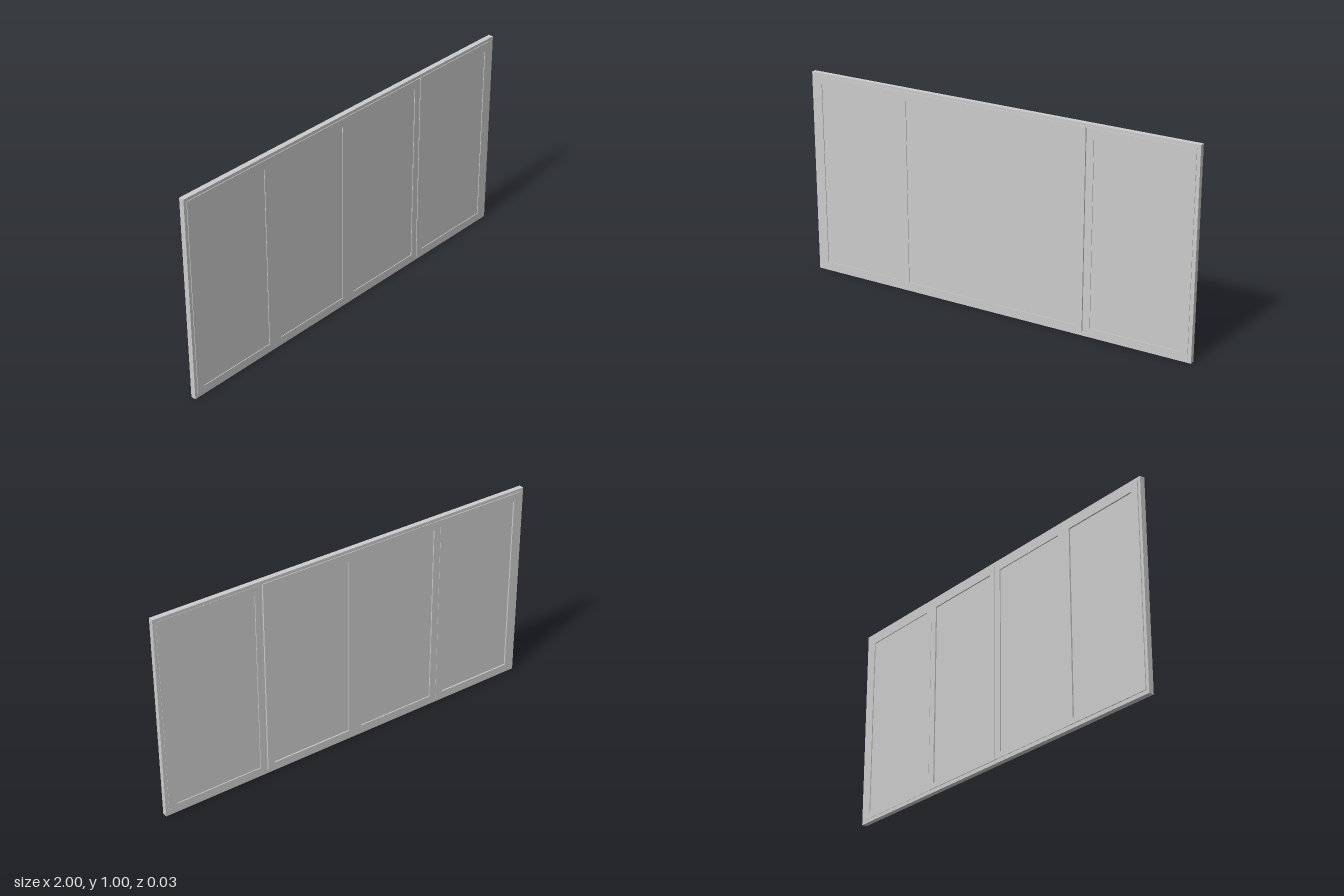
import * as THREE from 'three';

const material = new THREE.MeshStandardMaterial({ color: 0xcccccc });

// Rectangle corners as a closed loop
function rectangle(PathType, x0, x1, y0, y1) {
  const path = new PathType();
  path.moveTo(x0, y0);
  path.lineTo(x1, y0);
  path.lineTo(x1, y1);
  path.lineTo(x0, y1);
  path.closePath();
  return path;
}

// Flat rectangular ring between an outer and an inner rectangle
function ring(name, outer, inner, back, front) {
  const shape = rectangle(THREE.Shape, ...outer);
  shape.holes.push(rectangle(THREE.Path, ...inner));
  const geometry = new THREE.ExtrudeGeometry(shape, { depth: front - back, bevelEnabled: false });
  geometry.translate(0, 0, back);
  const mesh = new THREE.Mesh(geometry, material);
  mesh.name = name;
  return mesh;
}

// Pane filling an opening
function pane(name, [x0, x1, y0, y1], back, front) {
  const mesh = new THREE.Mesh(new THREE.BoxGeometry(x1 - x0, y1 - y0, front - back), material);
  mesh.position.set((x0 + x1) / 2, (y0 + y1) / 2, (back + front) / 2);
  mesh.name = name;
  return mesh;
}

export function createModel() {
  const group = new THREE.Group();
  group.name = 'slidingWindow';

  // Fixed outer frame
  group.add(ring('outerFrame', [-1, 1, 0, 1], [-0.98, 0.98, 0.02, 0.98], -0.012, 0.013));

  // Four sashes side by side: outer x range, pane x range, back depth
  const sashes = [
    { outer: [-0.985, -0.506], opening: [-0.945, -0.545], back: -0.016 },
    { outer: [-0.506, -0.024], opening: [-0.47, -0.06], back: -0.0145 },
    { outer: [-0.024, 0.462], opening: [0.012, 0.427], back: -0.0155 },
    { outer: [0.466, 0.983], opening: [0.502, 0.94], back: -0.0135 },
  ];
  sashes.forEach(({ outer, opening, back }, i) => {
    const sash = new THREE.Group();
    sash.name = `sash${i + 1}`;
    const hole = [...opening, 0.045, 0.945];
    sash.add(ring('sashFrame', [...outer, 0.018, 0.985], hole, back, 0.016));
    sash.add(pane('pane', hole, -0.009, 0.0125));
    group.add(sash);
  });

  return group;
}
